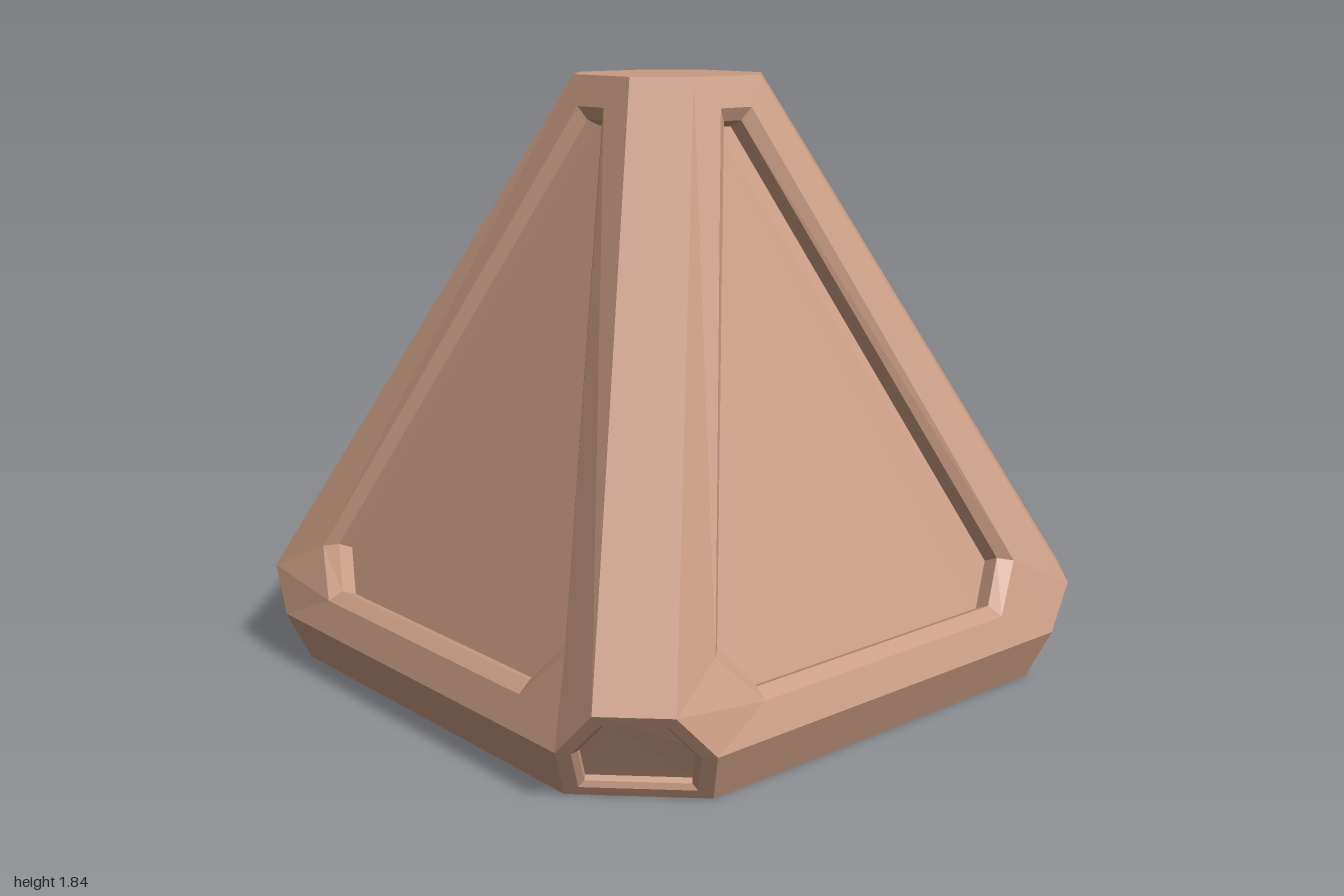
import * as THREE from 'three';

const V = (x, y, z) => new THREE.Vector3(x, y, z);
const material = new THREE.MeshStandardMaterial({ color: 0xc99b82, flatShading: true });

// Flat polygon as a triangle fan, corners counter-clockwise from outside
const cap = (p) => p.slice(2).flatMap((q, i) => [p[0], p[i + 1], q]);

// Band of quads between two closed loops of equal length
const band = (a, b) => a.flatMap((p, i) => {
  const j = (i + 1) % a.length;
  return [p, a[j], b[j], p, b[j], b[i]];
});

// Successive loops joined by bands, closed by the last loop
const recess = (loops) => [
  ...loops.slice(1).flatMap((l, i) => band(loops[i], l)),
  ...cap(loops[loops.length - 1]),
];

function makeMesh(name, points) {
  const g = new THREE.BufferGeometry().setFromPoints(points);
  g.computeVertexNormals();
  const m = new THREE.Mesh(g, material);
  m.name = name;
  return m;
}

// Mirrors the left half of a loop (listed top to bottom) to the right half
const mirror = (half) => [
  ...half,
  ...half.slice().reverse().map((p) => V(-p.x, p.y, p.z)),
];

// Octagon made by turning one front edge around the vertical axis
const octagon = (x, y, z) => [0, 1, 2, 3].flatMap((k) =>
  [-x, x].map((s) => V(s, y, z).applyAxisAngle(V(0, 1, 0), k * Math.PI / 2)));

export function createModel() {
  const group = new THREE.Group();
  group.name = 'truncatedPyramid';

  // Sloping side: frame, bevelled lip, straight wall and sunken floor
  const onSlope = (x, y, depth = 0) => V(x, y, 0.265 + 0.435 * (1.84 - y) - depth * 1.09);
  const frame = mirror([V(-0.133, 1.84, 0.265), V(-0.815, 0.275, 0.968), V(-0.7, 0.147, 1)]);
  const lip = mirror([onSlope(-0.062, 1.749), onSlope(-0.622, 0.372), onSlope(-0.497, 0.236)]);
  const wall = mirror([
    onSlope(-0.035, 1.71, 0.03), onSlope(-0.584, 0.379, 0.03), onSlope(-0.485, 0.261, 0.03),
  ]);
  const floor = wall.map((p) => p.clone().add(V(0, -0.02, -0.046)));
  const sidePoints = recess([frame, lip, wall, floor]);

  // Skirt under the sloping side
  const skirtPoints = cap([V(-0.7, 0.147, 1), V(-0.66, 0, 0.94), V(0.66, 0, 0.94), V(0.7, 0.147, 1)]);

  // Bevel running up the corner
  const bevelPoints = cap([
    V(0.133, 1.84, 0.265), V(0.815, 0.275, 0.968), V(0.968, 0.275, 0.815), V(0.265, 1.84, 0.133),
  ]);

  // Small hexagonal corner plate with its own recess
  const hex = [
    V(0.815, 0.275, 0.968), V(0.7, 0.147, 1), V(0.66, 0, 0.94),
    V(0.94, 0, 0.66), V(1, 0.147, 0.7), V(0.968, 0.275, 0.815),
  ];
  const centre = V(0.82, 0.135, 0.82);
  centre.x = centre.z = 0.846;
  const inward = V(-1, 0.95, -1).normalize();
  const inset = (scale, depth) => hex.map((p) =>
    p.clone().sub(centre).multiplyScalar(scale).add(centre).addScaledVector(inward, depth));
  const cornerPoints = recess([hex, inset(0.8, 0), inset(0.72, 0.012), inset(0.72, 0.03)]);

  // Four identical quarters
  for (let k = 0; k < 4; k++) {
    const quarter = new THREE.Group();
    quarter.name = 'quarter' + (k + 1);
    quarter.add(
      makeMesh('sidePanel', sidePoints),
      makeMesh('skirt', skirtPoints),
      makeMesh('cornerBevel', bevelPoints),
      makeMesh('cornerPlate', cornerPoints),
    );
    quarter.rotation.y = k * Math.PI / 2;
    group.add(quarter);
  }

  // Flat top and underside
  group.add(makeMesh('top', cap(octagon(0.133, 1.84, 0.265))));
  group.add(makeMesh('underside', cap(octagon(0.66, 0, 0.94).reverse())));
  return group;
}
